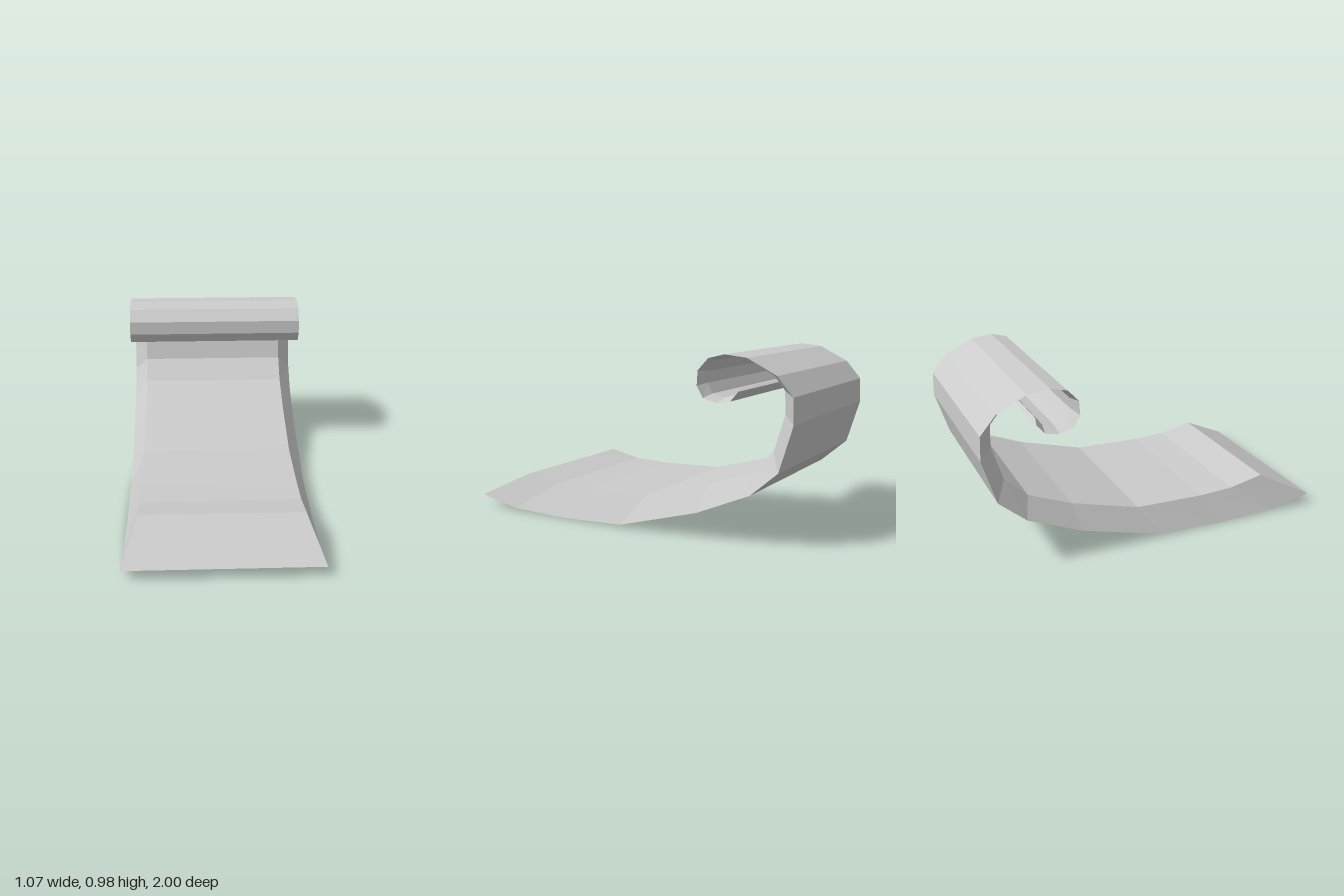
import * as THREE from 'three';

// Side profile stations: [outer z, outer y, inner z, inner y], from front lip to curl tip
const STATIONS = [
  [1.0, 0.065, 0.705, 0.213],
  [0.75, 0.012, 0.505, 0.17],
  [0.4, 0.0, 0.3, 0.16],
  [0.005, 0.014, -0.105, 0.17],
  [-0.47, 0.145, -0.5, 0.28],
  [-0.775, 0.275, -0.743, 0.38],
  [-0.925, 0.405, -0.866, 0.495],
  [-1.0, 0.65, -0.925, 0.69],
  [-0.995, 0.785, -0.92, 0.807],
  [-0.91, 0.885, -0.86, 0.88],
  [-0.748, 0.967, -0.748, 0.95],
  [-0.625, 0.98, -0.625, 0.965],
  [-0.535, 0.958, -0.545, 0.945],
  [-0.475, 0.893, -0.495, 0.885],
  [-0.47, 0.815, -0.49, 0.823],
  [-0.505, 0.753, -0.523, 0.77],
  [-0.587, 0.732, -0.587, 0.752],
  [-0.66, 0.745, -0.65, 0.766],
  [-0.705, 0.797, -0.685, 0.807],
];
const OUTER_HALF = 0.535;
const INNER_HALF = 0.455;

// Skin a loop of four-cornered cross-sections, closed at both ends
function curledSlab() {
  const positions = [];
  const index = [];
  for (const [oz, oy, iz, iy] of STATIONS) {
    positions.push(OUTER_HALF, oy, oz, -OUTER_HALF, oy, oz, -INNER_HALF, iy, iz, INNER_HALF, iy, iz);
  }
  const quad = (a, b, c, d) => index.push(a, b, c, a, c, d);
  const last = (STATIONS.length - 1) * 4;
  for (let s = 0; s < last; s += 4) {
    for (let k = 0; k < 4; k++) {
      const n = (k + 1) % 4;
      quad(s + k, s + n, s + 4 + n, s + 4 + k);
    }
  }
  quad(0, 3, 2, 1); // front bevel
  quad(last, last + 1, last + 2, last + 3); // curl tip

  const indexed = new THREE.BufferGeometry();
  indexed.setAttribute('position', new THREE.Float32BufferAttribute(positions, 3));
  indexed.setIndex(index);
  const geometry = indexed.toNonIndexed();
  geometry.computeVertexNormals();
  return geometry;
}

export function createModel() {
  const model = new THREE.Group();
  model.name = 'curledSeat';
  const material = new THREE.MeshStandardMaterial({ color: 0xcccccc, flatShading: true });
  const slab = new THREE.Mesh(curledSlab(), material);
  slab.name = 'curledSlab';
  model.add(slab);
  return model;
}
